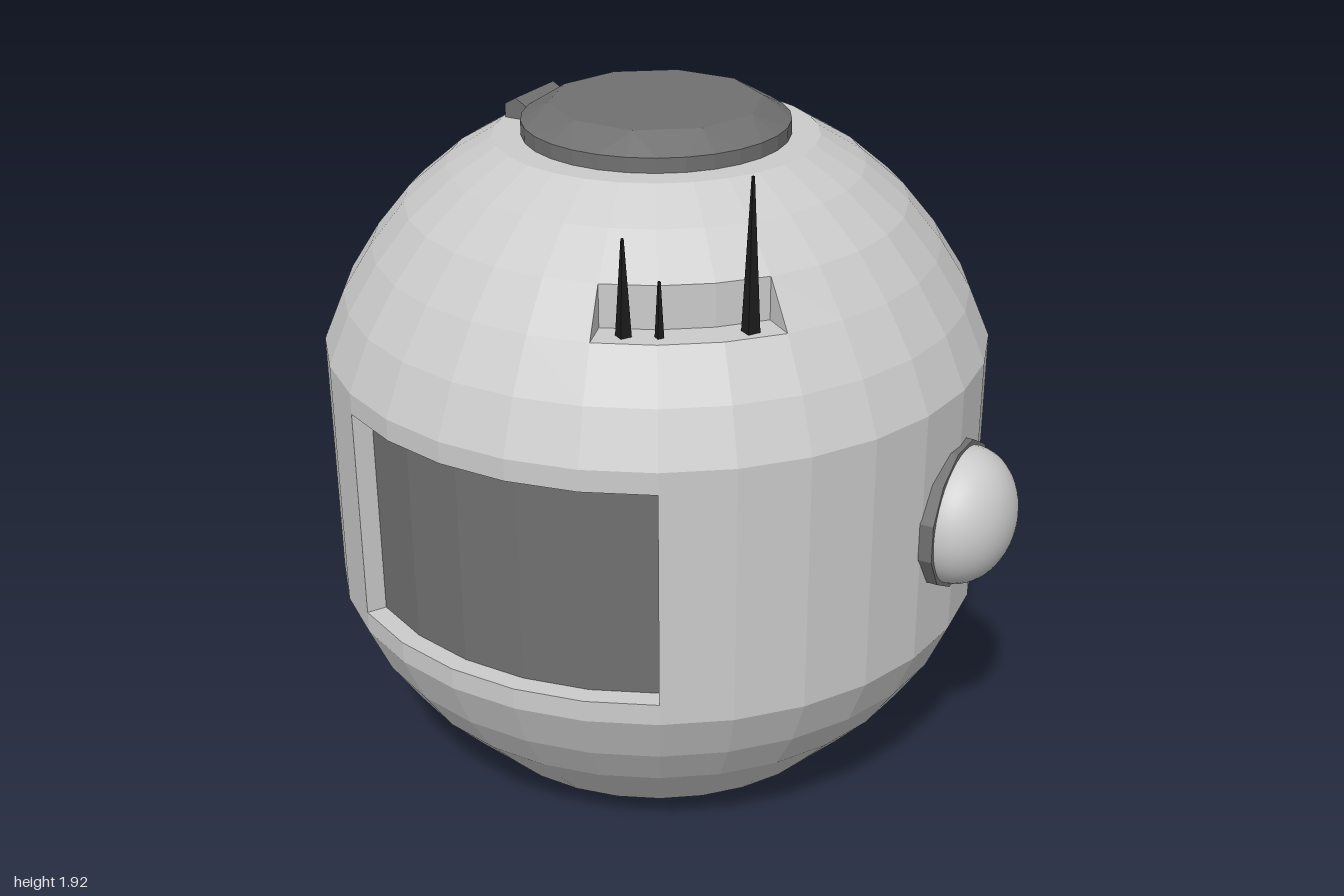
import * as THREE from 'three';
import { ConvexGeometry } from 'three/addons/geometries/ConvexGeometry.js';

const DEG = Math.PI / 180;
const STEP = 12; // degrees per facet, 30 facets round the body

const mat = (color, extra = {}) => new THREE.MeshStandardMaterial({ color, flatShading: true, ...extra });
const shell = mat(0xcccccc);
const thin = mat(0xcccccc, { side: THREE.DoubleSide });
const dark = mat(0x707070);
const black = mat(0x1c1c1c);

function add(parent, name, geometry, material, x = 0, y = 0, z = 0) {
  const mesh = new THREE.Mesh(geometry, material);
  mesh.name = name;
  mesh.position.set(x, y, z);
  parent.add(mesh);
  return mesh;
}

// Faceted surface swept from angle a to angle b (degrees, 0 = front, 90 = left)
function sweep(parent, name, profile, a = 6, b = 366, material = shell) {
  const points = profile.map(([r, y]) => new THREE.Vector2(r, y));
  const geometry = new THREE.LatheGeometry(points, Math.round((b - a) / STEP), a * DEG, (b - a) * DEG);
  return add(parent, name, geometry, material);
}

// Flat radial wall closing the end of a recess
function radialWall(parent, name, outline, angle) {
  const shape = new THREE.Shape(outline.map(([r, y]) => new THREE.Vector2(r, y)));
  add(parent, name, new THREE.ShapeGeometry(shape), thin).rotation.y = (angle - 90) * DEG;
}

function ring(r, y, n) {
  return Array.from({ length: n }, (_, i) => {
    const a = (i / n) * Math.PI * 2;
    return new THREE.Vector3(r * Math.cos(a), y, r * Math.sin(a));
  });
}

export function createModel() {
  const model = new THREE.Group();
  const body = new THREE.Group();
  body.name = 'body';
  body.position.x = -0.08;
  model.add(body);

  // Shell below and above the window band
  sweep(body, 'lowerShell', [[0, 0.055], [0.575, 0.055], [0.67, 0.155], [0.775, 0.27], [0.86, 0.4], [0.92, 0.54], [0.92, 0.6]]);
  sweep(body, 'upperShell', [[0.92, 1.2], [0.92, 1.26], [0.86, 1.4], [0.777, 1.53]]);
  sweep(body, 'slotBand', [[0.777, 1.53], [0.683, 1.645]], 54, 378);
  sweep(body, 'crown', [[0.683, 1.645], [0.565, 1.745], [0.44, 1.82], [0, 1.82]]);

  // Window band: two solid sides, with recessed windows front and back
  const inner = 0.865;
  for (const [side, mid] of [['front', 0], ['back', 180]]) {
    const a = mid - 30, b = mid + 30;
    sweep(body, side + 'SideWall', [[0.92, 0.6], [0.92, 1.2]], b, b + 120);
    sweep(body, side + 'WindowSill', [[0.92, 0.6], [inner, 0.6]], a, b);
    sweep(body, side + 'WindowHead', [[inner, 1.2], [0.92, 1.2]], a, b);
    sweep(body, side + 'WindowPane', [[inner, 0.6], [inner, 1.2]], a, b, dark);
    for (const end of [a, b]) {
      radialWall(body, side + 'WindowJamb', [[inner, 0.6], [0.92, 0.6], [0.92, 1.2], [inner, 1.2]], end);
    }
  }

  // Antenna slot cut into the upper shell
  sweep(body, 'antennaSlot', [[0.777, 1.53], [0.683, 1.53], [0.683, 1.645]], 18, 54);
  for (const end of [18, 54]) {
    radialWall(body, 'slotEnd', [[0.683, 1.53], [0.777, 1.53], [0.683, 1.645]], end);
  }

  // Foot
  add(body, 'foot', new THREE.CylinderGeometry(0.4, 0.4, 0.06, 30), shell, 0, 0.03, 0);

  // Hatch: round rim rising to a ten-sided lid
  const hatch = new ConvexGeometry([...ring(0.363, 1.81, 30), ...ring(0.363, 1.86, 30), ...ring(0.288, 1.907, 10)]);
  add(body, 'hatch', hatch, dark);
  const hinge = add(body, 'hatchHinge', new THREE.CylinderGeometry(0.04, 0.04, 0.19, 6), dark, -0.385, 1.838, 0.003);
  hinge.rotation.x = Math.PI / 2;

  // Antennas: square tapering spikes
  for (const [x, z, top, r] of [[0.21, 0.665, 1.78, 0.021], [0.29, 0.63, 1.675, 0.012], [0.465, 0.49, 1.925, 0.024]]) {
    const h = top - 1.53;
    const spike = add(model, 'antenna', new THREE.CylinderGeometry(0.004, r, h, 4), black, x, 1.53 + h / 2, z);
    spike.rotation.y = 15 * DEG;
  }

  // Domed porthole on the left side
  const rim = new THREE.CylinderGeometry(0.206, 0.206, 0.1, 12);
  rim.rotateY(15 * DEG).rotateZ(-Math.PI / 2);
  add(model, 'portholeRim', rim, dark, 0.805, 0.9, 0);
  const dome = new THREE.SphereGeometry(0.19, 40, 16, 0, Math.PI * 2, 0, Math.PI / 2);
  dome.scale(1, 0.145 / 0.19, 1).rotateZ(-Math.PI / 2);
  add(model, 'portholeDome', dome, new THREE.MeshStandardMaterial({ color: 0xcccccc }), 0.855, 0.9, 0);

  return model;
}
